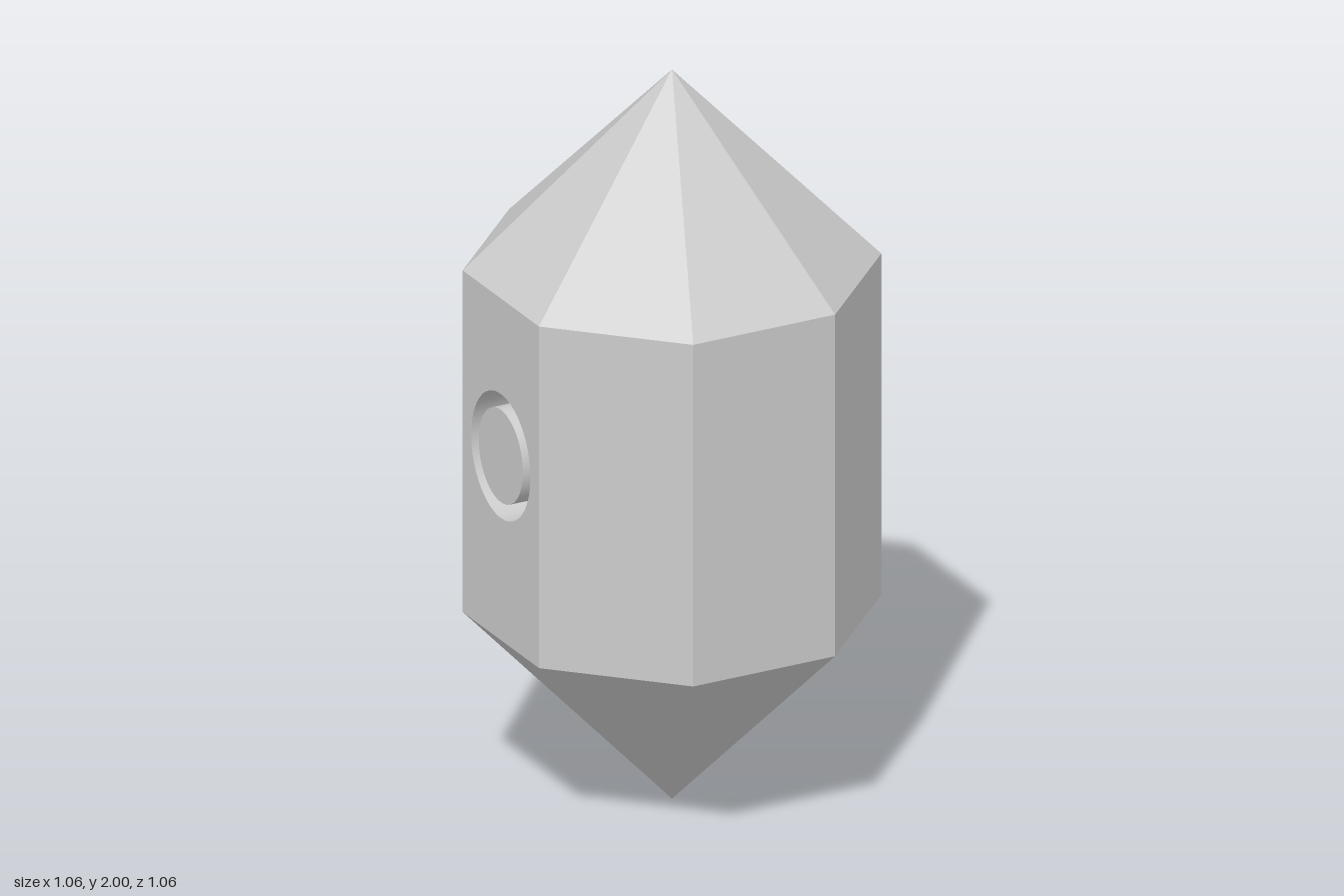
import * as THREE from 'three';
import { toCreasedNormals } from 'three/addons/utils/BufferGeometryUtils.js';

const R = 0.53, LOW = 0.535, HIGH = 1.472, TOP = 2, SIDES = 8;
const HOLE = { y: 1.04, rx: 0.157, ry: 0.17, inner: 0.117, depth: 0.1 };

export function createModel() {
  const model = new THREE.Group();
  const flat = new THREE.MeshStandardMaterial({ color: 0xcccccc, flatShading: true });
  const smooth = new THREE.MeshStandardMaterial({ color: 0xcccccc });

  const add = (parent, name, geometry, material) => {
    const mesh = new THREE.Mesh(geometry, material);
    mesh.name = name;
    parent.add(mesh);
    return mesh;
  };

  // pointed ends
  const upper = new THREE.ConeGeometry(R, TOP - HIGH, SIDES, 1, true);
  add(model, 'upperPoint', upper, flat).position.y = (TOP + HIGH) / 2;
  const lower = new THREE.ConeGeometry(R, LOW, SIDES, 1, true).rotateX(Math.PI);
  add(model, 'lowerPoint', lower, flat).position.y = LOW / 2;

  // side panel outline, with y measured from the ground
  const half = R * Math.sin(Math.PI / SIDES);
  const outline = () => new THREE.Shape([
    new THREE.Vector2(-half, LOW), new THREE.Vector2(half, LOW),
    new THREE.Vector2(half, HIGH), new THREE.Vector2(-half, HIGH),
  ]);
  const plain = new THREE.ShapeGeometry(outline());
  const pierced = outline();
  pierced.holes.push(new THREE.Path().absellipse(0, HOLE.y, HOLE.rx, HOLE.ry, 0, Math.PI * 2, true));
  const piercedPanel = new THREE.ShapeGeometry(pierced, 48);

  // ring groove around a flush round button
  const profile = [
    [HOLE.rx, 0], [HOLE.rx, -HOLE.depth], [HOLE.inner, -HOLE.depth], [HOLE.inner, 0], [0, 0],
  ].map(([r, y]) => new THREE.Vector2(r, y));
  const groove = toCreasedNormals(
    new THREE.LatheGeometry(profile, 48).rotateX(Math.PI / 2).scale(1, HOLE.ry / HOLE.rx, 1),
    0.6,
  );

  // eight sides, two opposite ones carrying the button
  for (let i = 0; i < SIDES; i++) {
    const angle = ((i + 0.5) * 2 * Math.PI) / SIDES;
    const apothem = R * Math.cos(Math.PI / SIDES);
    const side = new THREE.Group();
    side.name = 'side' + (i + 1);
    side.rotation.y = angle;
    side.position.set(Math.sin(angle) * apothem, 0, Math.cos(angle) * apothem);
    const hasButton = i === 2 || i === 6;
    add(side, 'panel', hasButton ? piercedPanel : plain, flat);
    if (hasButton) add(side, 'groovedButton', groove, smooth).position.y = HOLE.y;
    model.add(side);
  }
  return model;
}
